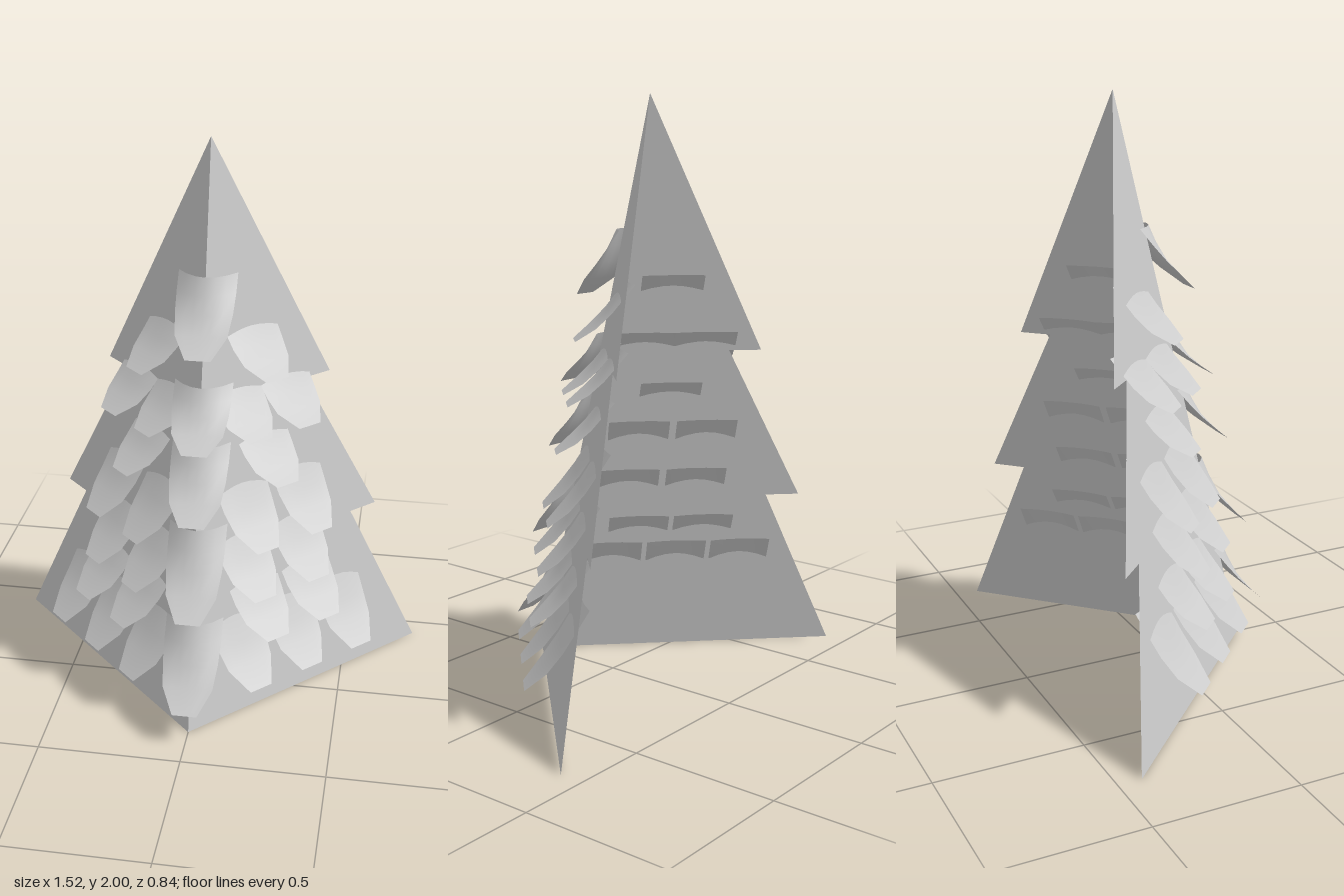
import * as THREE from 'three';

const material = new THREE.MeshStandardMaterial({ color: 0xcccccc, side: THREE.DoubleSide });

// z of the folded sheet at a given x and height
const sheetZ = (x, y) => 0.335 - 0.245 * y - 0.993 * Math.abs(x);

// One half of the fold, a flat tree outline with three tiers
function panel(side) {
  const outline = [[0, 0], [0.76, 0], [0.5, 0.585], [0.585, 0.585], [0.32, 1.13], [0.4, 1.13], [0, 2]];
  const geo = new THREE.ShapeGeometry(new THREE.Shape(outline.map(([x, y]) => new THREE.Vector2(x * side, y))));
  const p = geo.attributes.position;
  for (let i = 0; i < p.count; i++) p.setZ(i, sheetZ(p.getX(i), p.getY(i)));
  geo.computeVertexNormals();
  const mesh = new THREE.Mesh(geo, material);
  mesh.name = side > 0 ? 'leftPanel' : 'rightPanel';
  return mesh;
}

// Arched scale hanging from its top edge, flaring out to a flat cut tip
function scale(width, length, slope, lift, arch) {
  const geo = new THREE.PlaneGeometry(1, 1, 6, 4);
  const p = geo.attributes.position;
  const taper = [1, 1, 0.97, 0.87, 0.43];
  for (let i = 0; i < p.count; i++) {
    const t = 0.5 - p.getY(i);
    const row = Math.round(t * 4);
    const u = p.getX(i) * 2;
    const bend = arch * Math.max(0, 1 - t / 0.75) * u * u;
    p.setXYZ(i, u * width * taper[row] / 2, -length * t, slope * length * t + lift[row] - bend);
  }
  geo.computeVertexNormals();
  return new THREE.Mesh(geo, material);
}

export function createModel() {
  const model = new THREE.Group();
  model.name = 'foldedTree';

  // Rows on each panel: top height, tip height, x of each scale
  const rows = [
    [1.4, 1.21, [0.14]],
    [1.2, 1.02, [0.1, 0.25]],
    [1.02, 0.84, [0.19]],
    [0.88, 0.63, [0.13, 0.3]],
    [0.7, 0.46, [0.13, 0.3]],
    [0.52, 0.3, [0.18, 0.345]],
    [0.42, 0.14, [0.125, 0.29, 0.455]],
  ];
  const panelLift = [-0.02, 0.005, 0.03, 0.065, 0.12];
  for (const side of [1, -1]) {
    model.add(panel(side));
    const scales = new THREE.Group();
    scales.name = side > 0 ? 'leftScales' : 'rightScales';
    for (const [top, tip, xs] of rows) {
      for (const x of xs) {
        const s = scale(0.215, top - tip, 0.174, panelLift, 0.015);
        s.name = 'panelScale';
        s.position.set(x * side, top, sheetZ(x, top));
        s.rotation.y = side * Math.atan(0.993);
        scales.add(s);
      }
    }
    model.add(scales);
  }

  // Scales straddling the front ridge: top height, tip height
  const ridge = new THREE.Group();
  ridge.name = 'ridgeScales';
  const ridgeLift = [0.01, 0.02, 0.035, 0.06, 0.115];
  for (const [top, tip] of [[0.39, 0.13], [0.72, 0.45], [1.0, 0.78], [1.2, 1.02], [1.56, 1.33]]) {
    const s = scale(0.2, top - tip, 0.245, ridgeLift, 0.07);
    s.name = 'ridgeScale';
    s.position.set(0, top, sheetZ(0, top));
    ridge.add(s);
  }
  model.add(ridge);
  return model;
}
